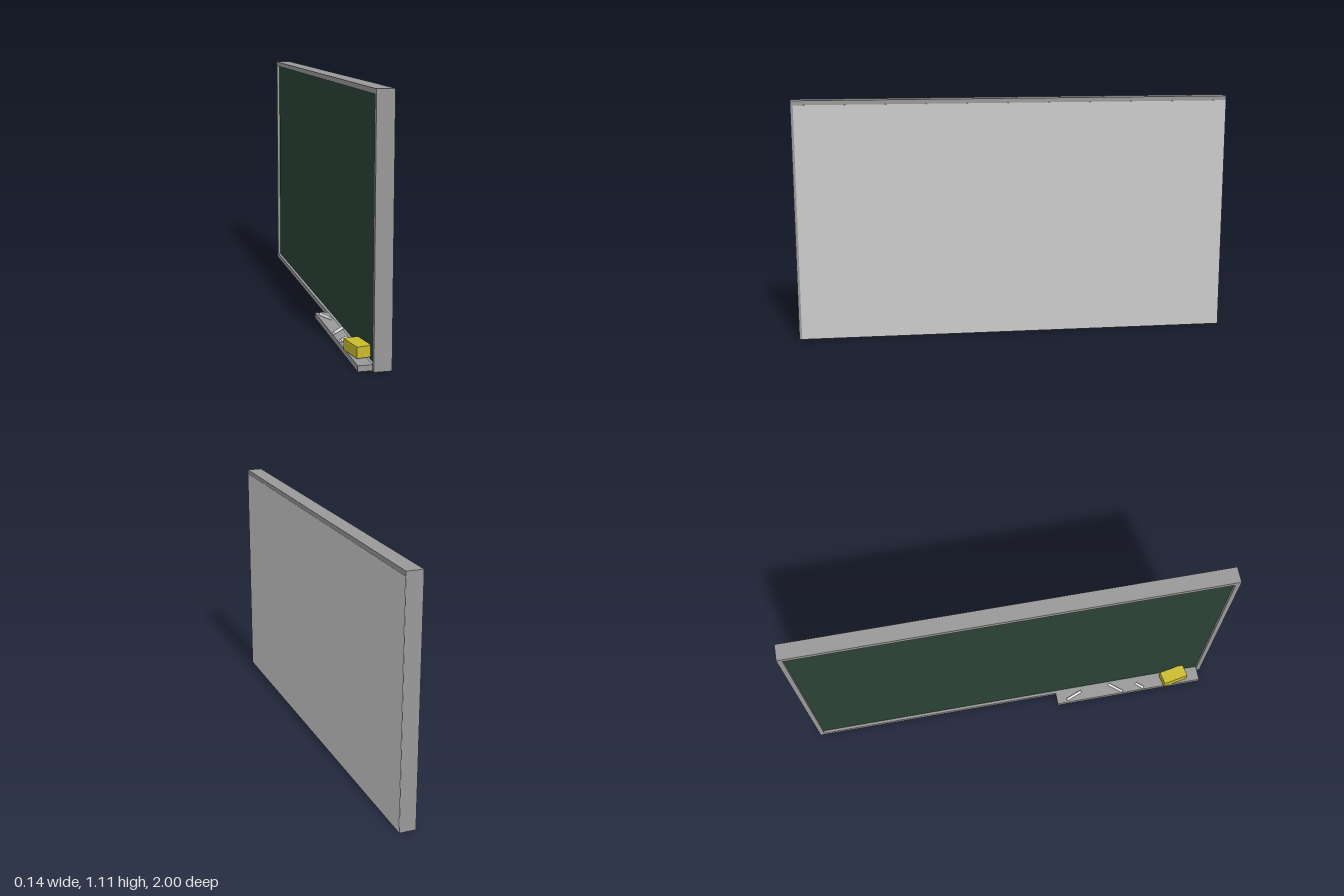
import * as THREE from 'three';

const paint = (name, color) => {
  const m = new THREE.MeshStandardMaterial({ color });
  m.name = name;
  return m;
};

export function createModel() {
  const group = new THREE.Group();
  const frameGrey = paint('frame grey', 0x999999);
  const backGrey = paint('light grey backing', 0xcccccc);
  const slate = paint('dark green slate', 0x2a4236);
  const yellow = paint('eraser yellow', 0xcbbb2e);
  const white = paint('chalk white', 0xebebeb);

  const add = (name, geometry, material) => {
    const mesh = new THREE.Mesh(geometry, material);
    mesh.name = name;
    group.add(mesh);
    return mesh;
  };
  // Box given by its [min, max] along each axis
  const box = (name, [x0, x1], [y0, y1], [z0, z1], material) => {
    const mesh = add(name, new THREE.BoxGeometry(x1 - x0, y1 - y0, z1 - z0), material);
    mesh.position.set((x0 + x1) / 2, (y0 + y1) / 2, (z0 + z1) / 2);
    return mesh;
  };

  const H = 1.105, FRONT = -0.003, BACK = 0.071, RIM = 0.022;

  // Frame: four bars around the writing surface, which faces -x
  box('frameBottom', [FRONT, BACK], [0, RIM], [-1, 1], frameGrey);
  box('frameTop', [FRONT, BACK], [H - RIM, H], [-1, 1], frameGrey);
  for (const s of [-1, 1]) {
    const z = s < 0 ? [-1, -1 + RIM] : [1 - RIM, 1];
    box(s < 0 ? 'frameRight' : 'frameLeft', [FRONT, BACK], [RIM, H - RIM], z, frameGrey);
  }

  // Recessed writing surface and the backing sheet
  box('writingSurface', [0.01, BACK - 0.002], [RIM, H - RIM], [-1 + RIM, 1 - RIM], slate);
  box('backPanel', [BACK - 0.004, BACK + 0.001], [0.002, H - 0.02], [-0.998, 0.988], backGrey);

  // Chalk tray
  box('chalkTray', [-0.063, FRONT], [0, 0.025], [0.23, 0.98], frameGrey);

  // Eraser, turned slightly on the tray
  const eraser = add('eraser', new THREE.BoxGeometry(0.065, 0.048, 0.126), yellow);
  eraser.position.set(-0.028, 0.054, 0.845);
  eraser.rotation.y = 0.19;

  // Chalk sticks, each from one end to the other as [x, z]
  const sticks = [
    [[-0.051, 0.28], [-0.02, 0.36]],
    [[-0.06, 0.573], [-0.006, 0.507]],
    [[-0.058, 0.684], [-0.026, 0.646]],
  ];
  for (const [a, b] of sticks) {
    const dx = b[0] - a[0], dz = b[1] - a[1];
    const geometry = new THREE.CylinderGeometry(0.007, 0.007, Math.hypot(dx, dz), 8);
    geometry.rotateX(Math.PI / 2);
    const chalk = add('chalk', geometry, white);
    chalk.position.set((a[0] + b[0]) / 2, 0.032, (a[1] + b[1]) / 2);
    chalk.rotation.y = Math.atan2(dx, dz);
  }
  return group;
}
